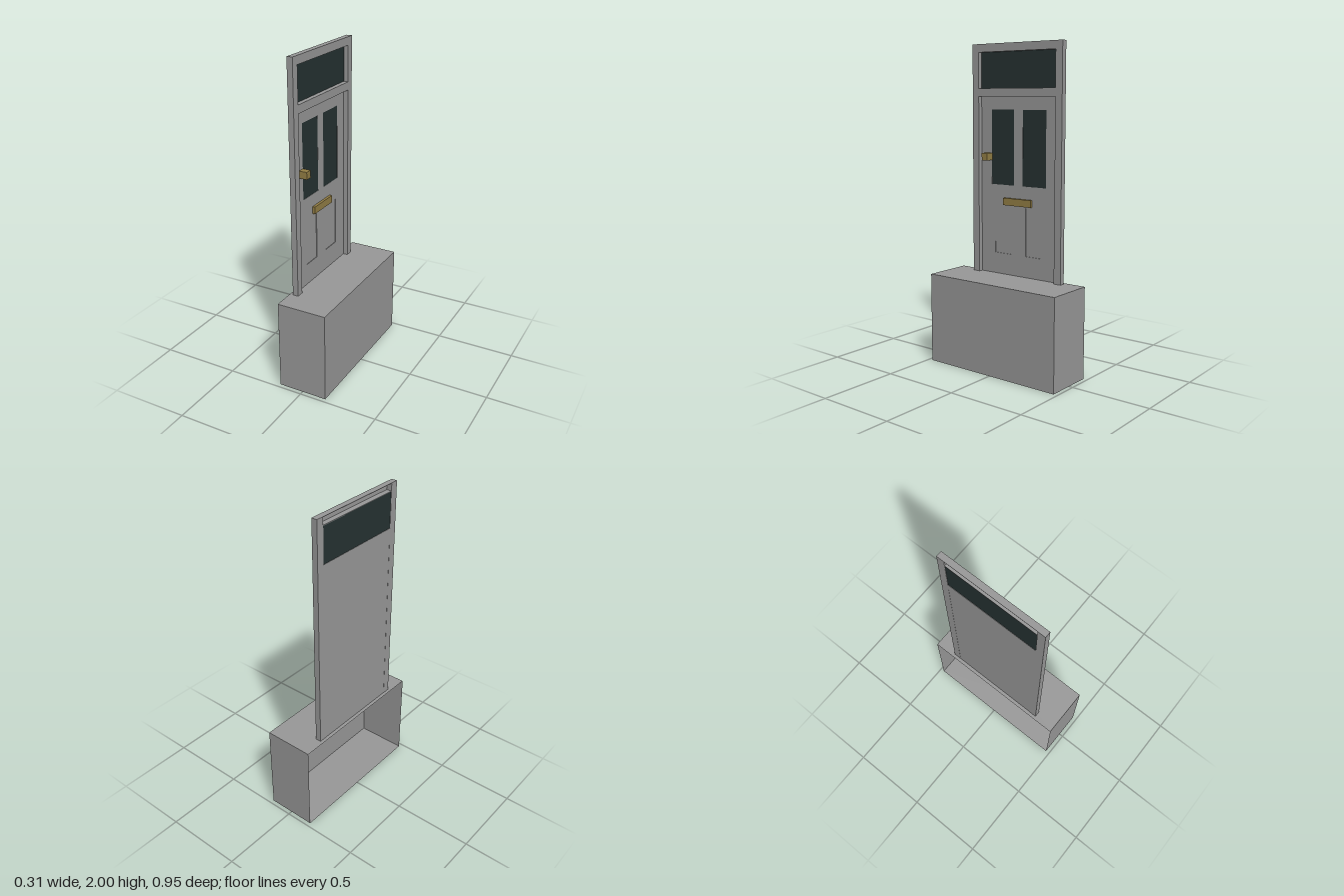
import * as THREE from 'three';

const stone = new THREE.MeshStandardMaterial({ color: 0x999999, side: THREE.DoubleSide });
stone.name = 'grey';
const glass = new THREE.MeshStandardMaterial({ color: 0x263232 });
glass.name = 'dark glass';
const brass = new THREE.MeshStandardMaterial({ color: 0x947f45 });
brass.name = 'brass';

const BACK = -0.136, FRONT = -0.1, DOOR = -0.129, STEP = 0.567;

// Box given by its extents along x, y and z
function block(parent, name, mat, [x0, x1], [y0, y1], [z0, z1]) {
  const mesh = new THREE.Mesh(new THREE.BoxGeometry(x1 - x0, y1 - y0, z1 - z0), mat);
  mesh.position.set((x0 + x1) / 2, (y0 + y1) / 2, (z0 + z1) / 2);
  mesh.name = name;
  parent.add(mesh);
  return mesh;
}

function rectangle(Type, a0, a1, b0, b1) {
  const r = new Type();
  r.moveTo(a0, b0);
  r.lineTo(a1, b0);
  r.lineTo(a1, b1);
  r.lineTo(a0, b1);
  r.closePath();
  return r;
}

// Hollow step, open on the -x side: drop that face (the second) of a box
function makeStep() {
  const geo = new THREE.BoxGeometry(0.314, STEP, 0.948);
  const index = Array.from(geo.index.array);
  index.splice(6, 6);
  geo.setIndex(index);
  geo.clearGroups();
  const step = new THREE.Mesh(geo, stone);
  step.position.y = STEP / 2;
  step.name = 'step';
  return step;
}

function makeFrame() {
  const frame = new THREE.Group();
  frame.name = 'frame';
  block(frame, 'leftPost', stone, [BACK, FRONT], [STEP, 2], [0.29, 0.338]);
  block(frame, 'rightPost', stone, [BACK, FRONT], [STEP, 2], [-0.338, -0.29]);
  block(frame, 'transomBar', stone, [BACK, FRONT], [1.68, 1.73], [-0.29, 0.29]);
  // Head rail, hollow at the back
  block(frame, 'headFace', stone, [FRONT - 0.003, FRONT], [1.95, 2], [-0.29, 0.29]);
  block(frame, 'headTop', stone, [BACK, FRONT - 0.003], [1.997, 2], [-0.29, 0.29]);
  block(frame, 'headUnderside', stone, [BACK, FRONT - 0.003], [1.95, 1.953], [-0.29, 0.29]);
  block(frame, 'transomWindow', glass, [BACK + 0.002, DOOR], [1.73, 1.95], [-0.29, 0.29]);
  return frame;
}

function makeDoor() {
  const door = new THREE.Group();
  door.name = 'door';
  // Leaf with sunken windows and lower panels
  const leaf = rectangle(THREE.Shape, -0.29, 0.29, STEP, 1.68);
  for (const s of [-1, 1]) {
    leaf.holes.push(rectangle(THREE.Path, s * 0.033, s * 0.207, 1.135, 1.6));
    leaf.holes.push(rectangle(THREE.Path, s * 0.057, s * 0.182, 0.7, 1));
    block(door, s > 0 ? 'leftWindow' : 'rightWindow', glass, [DOOR - 0.004, DOOR - 0.001],
      [1.135, 1.6], s > 0 ? [0.033, 0.207] : [-0.207, -0.033]);
  }
  const geo = new THREE.ExtrudeGeometry(leaf, { depth: 0.004, bevelEnabled: false });
  geo.rotateY(Math.PI / 2);
  geo.translate(DOOR - 0.004, 0, 0);
  const front = new THREE.Mesh(geo, stone);
  front.name = 'leaf';
  door.add(front);
  block(door, 'leafBack', stone, [BACK + 0.001, DOOR - 0.004], [STEP, 1.68], [-0.29, 0.29]);
  // Fittings
  block(door, 'knob', brass, [DOOR, -0.078], [1.285, 1.33], [0.205, 0.249]);
  block(door, 'letterSlot', brass, [DOOR, -0.112], [1.01, 1.055], [-0.105, 0.105]);
  return door;
}

export function createModel() {
  const model = new THREE.Group();
  model.name = 'doorway';
  model.add(makeStep(), makeFrame(), makeDoor());
  return model;
}
